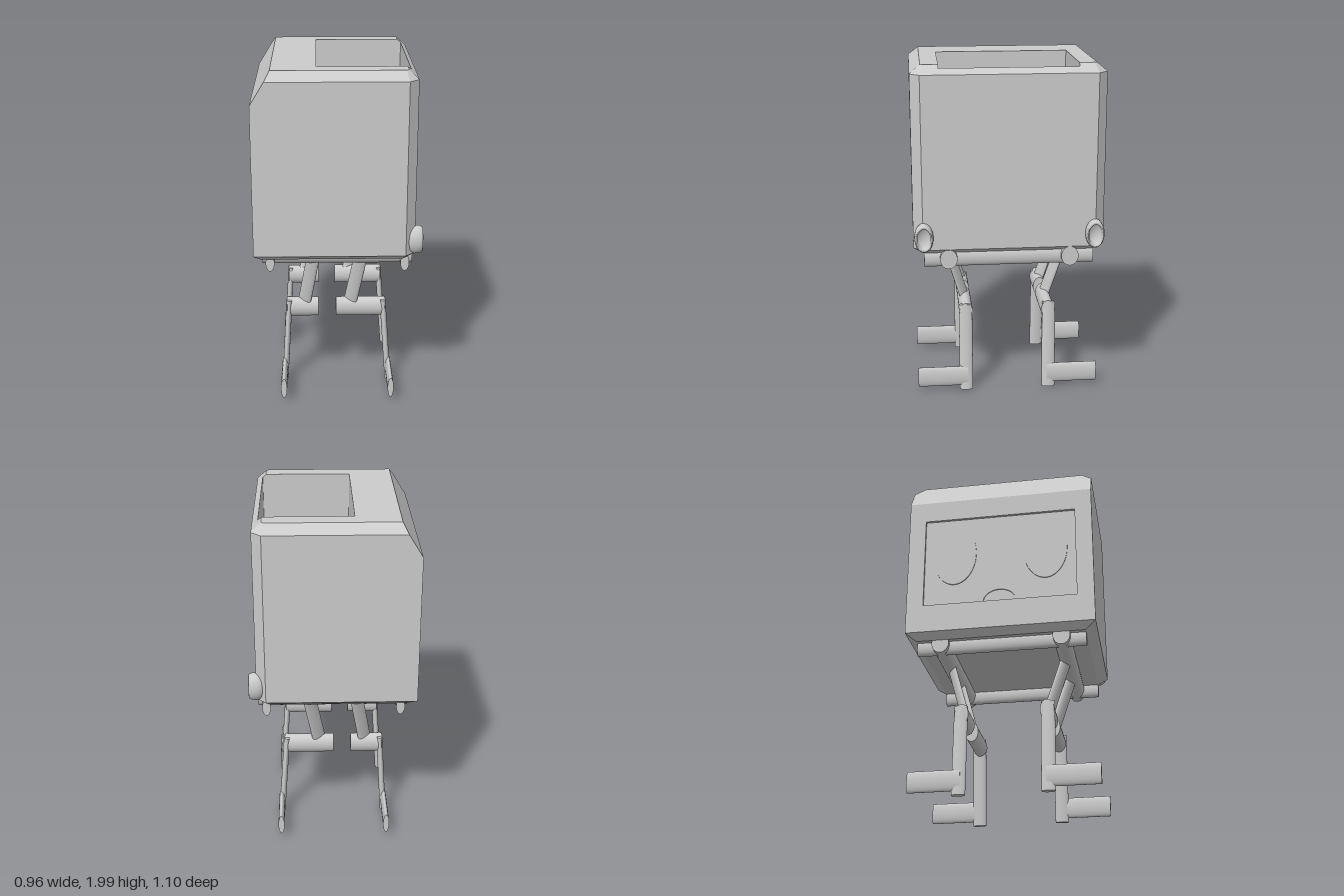
import * as THREE from 'three';

const grey = new THREE.MeshStandardMaterial({ color: 0xcccccc });
const greyBoth = new THREE.MeshStandardMaterial({ color: 0xcccccc, side: THREE.DoubleSide });

function add(parent, name, geometry, material = grey) {
  const mesh = new THREE.Mesh(geometry, material);
  mesh.name = name;
  parent.add(mesh);
  return mesh;
}

// Flat-faced skin over closed rings of [x, y, z]; skip(ring, side) leaves a side open
function loft(rings, skip = () => false) {
  const pos = [];
  for (let r = 0; r < rings.length - 1; r++) {
    const a = rings[r], b = rings[r + 1], n = a.length;
    for (let i = 0; i < n; i++) {
      if (skip(r, i)) continue;
      const j = (i + 1) % n;
      pos.push(...a[i], ...a[j], ...b[j], ...a[i], ...b[j], ...b[i]);
    }
  }
  const g = new THREE.BufferGeometry();
  g.setAttribute('position', new THREE.Float32BufferAttribute(pos, 3));
  g.computeVertexNormals();
  return g;
}

// Flat shape through [x, z] points, facing up
function plate(points, y) {
  const shape = new THREE.Shape(points.map(([x, z]) => new THREE.Vector2(x, -z)));
  return new THREE.ShapeGeometry(shape).rotateX(-Math.PI / 2).translate(0, y, 0);
}

// Rod with an elliptical section between two points
function rod(parent, name, from, to, rx, rz) {
  const a = new THREE.Vector3(...from), b = new THREE.Vector3(...to);
  const dir = b.clone().sub(a);
  const mesh = add(parent, name, new THREE.CylinderGeometry(1, 1, dir.length(), 32));
  mesh.scale.set(rx, 1, rz);
  mesh.position.copy(a).add(b).multiplyScalar(0.5);
  mesh.quaternion.setFromUnitVectors(new THREE.Vector3(0, 1, 0), dir.normalize());
  return mesh;
}

function rectangle(w, y0, y1, Kind = THREE.Shape) {
  return new Kind([[-w, y0], [w, y0], [w, y1], [-w, y1]].map(p => new THREE.Vector2(...p)));
}

const POCKET_Z = 0.39;

// Horizontal outline with cut corners on the +x side only
function outline(y, x0, x1, z, cut) {
  const half = [[x0, z], [x1 - cut, z], [x1, z - cut], [x1, POCKET_Z], [x1, POCKET_Z]];
  const back = half.map(([x, zz]) => [x, -zz]).reverse();
  return [...half, ...back].map(([x, zz]) => [x, y, zz]);
}

function buildBody() {
  const body = new THREE.Group();
  body.name = 'body';
  const rings = [
    outline(0.91, -0.44, 0.38, 0.49, 0.015),
    outline(0.95, -0.48, 0.435, 0.55, 0.055),
    outline(1.82, -0.48, 0.435, 0.55, 0.055),
    outline(1.95, -0.40, 0.435, 0.55, 0.055),
    outline(2.0, -0.37, 0.38, 0.49, 0.015),
  ];
  // The pocket notches into the top bevel
  const top = rings[4];
  for (const i of [4, 5]) { top[i][0] = 0.40; top[i][1] = 1.982; }
  add(body, 'shell', loft(rings, (r, i) => r === 1 && i === 9));

  const base = rings[0].filter((p, i) => ![3, 4, 5, 6].includes(i)).map(p => [p[0], p[2]]);
  add(body, 'bottomPlate', plate(base, 0.91), greyBoth);

  // Top plate wraps around the pocket
  const rim = [...top.slice(0, 4), [-0.12, 2, POCKET_Z], [-0.12, 2, -POCKET_Z], ...top.slice(6)];
  add(body, 'topPlate', plate(rim.map(p => [p[0], p[2]]), 2));

  const mouth = [[-0.12, 2, POCKET_Z], ...top.slice(3, 7), [-0.12, 2, -POCKET_Z]];
  const floorY = 1.0;
  add(body, 'pocketWalls', loft([mouth, mouth.map(([x, , z]) => [x, floorY, z])]));
  const corners = [0, 2, 3, 5].map(i => [mouth[i][0], mouth[i][2]]);
  add(body, 'pocketFloor', plate(corners, floorY));
  return body;
}

// Face on the -x side: recessed screen with two eyes and an arched mouth
function buildFace() {
  const face = new THREE.Group();
  face.name = 'face';
  const w = 0.45, y0 = 1.12, y1 = 1.69, depth = 0.015;

  const surround = rectangle(0.55, 0.95, 1.82);
  surround.holes.push(rectangle(w, y0, y1, THREE.Path));
  add(face, 'screenSurround', new THREE.ShapeGeometry(surround));
  const edge = z => [[-w, y0, z], [w, y0, z], [w, y1, z], [-w, y1, z]];
  add(face, 'screenEdge', loft([edge(0), edge(-depth)]), greyBoth);
  add(face, 'screen', new THREE.ShapeGeometry(rectangle(w, y0, y1)).translate(0, 0, -depth));

  const relief = { depth: 0.006, bevelEnabled: false, curveSegments: 24 };
  for (const side of [-1, 1]) {
    const eye = new THREE.Shape().absellipse(side * 0.27, 1.45, 0.13, 0.2, 0, Math.PI * 2);
    add(face, 'eye', new THREE.ExtrudeGeometry(eye, relief).translate(0, 0, -depth));
  }
  const arch = new THREE.Shape();
  arch.absellipse(0, y0, 0.13, 0.11, 0, Math.PI, false);
  arch.absellipse(0, y0, 0.095, 0.075, Math.PI, 0, true);
  add(face, 'mouth', new THREE.ExtrudeGeometry(arch, relief).translate(0, 0, -depth));

  face.rotation.y = -Math.PI / 2;
  face.position.x = -0.48;
  return face;
}

export function createModel() {
  const model = new THREE.Group();
  model.name = 'walkingRobot';
  model.add(buildBody(), buildFace());

  // Hollow nozzle at each lower +x corner
  const profile = [[0.055, 0], [0.075, 0.015], [0.084, 0.04], [0.082, 0.07], [0.074, 0.085],
    [0.066, 0.087], [0.058, 0.08], [0.054, 0.05], [0, 0.05]].map(p => new THREE.Vector2(...p));
  const nozzle = new THREE.LatheGeometry(profile, 32).rotateZ(-Math.PI / 2).scale(1, 1, 0.65);

  // Undercarriage bars along z
  for (const x of [-0.39, 0.38]) rod(model, 'crossBar', [x, 0.885, -0.49], [x, 0.885, 0.49], 0.025, 0.05);

  for (const s of [-1, 1]) {
    add(model, 'nozzle', nozzle, greyBoth).position.set(0.39, 1.028, s * 0.49);
    rod(model, 'sideBar', [-0.44, 0.89, s * 0.35], [0.43, 0.89, s * 0.35], 0.058, 0.05);

    // Legs: thigh, knee, shin and outward foot
    const legs = [
      { hip: -0.143, knee: -0.203, inner: -0.115, outer: -0.305, shin: -0.29, ankle: -0.322 },
      { hip: 0.135, knee: 0.073, inner: -0.01, outer: 0.285, shin: 0.272, ankle: 0.31 },
    ];
    for (const l of legs) {
      const leg = new THREE.Group();
      leg.name = 'leg';
      rod(leg, 'thigh', [l.hip, 0.87, s * 0.345], [l.knee, 0.51, s * 0.24], 0.018, 0.042);
      rod(leg, 'knee', [l.inner, 0.5, s * 0.245], [l.outer, 0.5, s * 0.245], 0.06, 0.04);
      rod(leg, 'shin', [l.shin, 0.55, s * 0.25], [l.ankle, 0.015, s * 0.25], 0.018, 0.04);
      rod(leg, 'foot', [l.ankle, 0.102, s * 0.24], [l.ankle, 0.102, s * 0.54], 0.018, 0.062);
      model.add(leg);
    }
  }
  return model;
}
